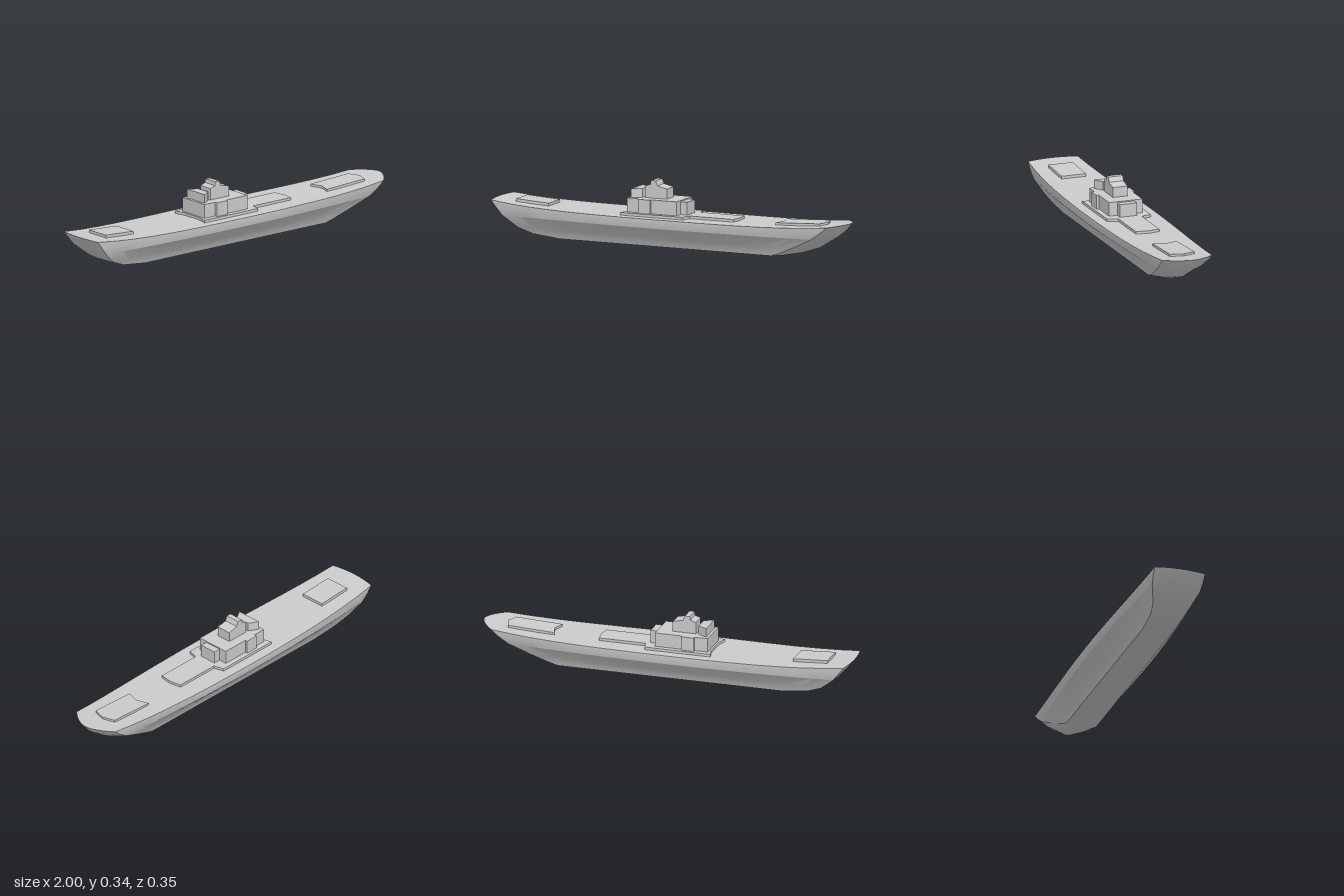
import * as THREE from 'three';
import { toCreasedNormals } from 'three/addons/utils/BufferGeometryUtils.js';

const grey = new THREE.MeshStandardMaterial({ color: 0xcccccc });
const deckY = (x) => 0.16 + 0.03 * x ** 4; // sheer line

// Waterlines from keel to deck: height, half width amidships and at the ends,
// stern corner, stern centre, bow crease and bow tip
const levels = [
  { y: 0.003, mid: 0.08, end: 0.08, sc: -0.62, st: -0.63, bc: 0.58, bt: 0.65 },
  { y: 0.02, mid: 0.088, end: 0.086, sc: -0.77, st: -0.78, bc: 0.63, bt: 0.73 },
  { y: 0.05, mid: 0.103, end: 0.1, sc: -0.85, st: -0.86, bc: 0.7, bt: 0.82 },
  { y: 0.112, mid: 0.168, end: 0.13, sc: -0.925, st: -0.935, bc: 0.83, bt: 0.92 },
  { y: 0.15, mid: 0.177, end: 0.136, sc: -0.955, st: -0.97, bc: 0.885, bt: 0.97 },
  { y: null, mid: 0.176, end: 0.137, sc: -0.985, st: -1, bc: 0.92, bt: 1 },
];

// Half outline of one waterline, from stern centre round to bow tip
function halfOutline({ y, mid, end, sc, st, bc, bt }) {
  const pts = [];
  const add = (x, z) => pts.push(new THREE.Vector3(x, y ?? deckY(x), z));
  for (let i = 0; i < 4; i++) add(st + (sc - st) * (i / 4) ** 2, end * i / 4);
  for (let i = 0; i <= 16; i++) {
    const t = i / 16;
    add(sc + (bc - sc) * t, end + (mid - end) * (1 - (2 * t - 1) ** 2));
  }
  for (let i = 5; i >= 0; i--) add(bc + (bt - bc) * (1 - (i / 6) ** 1.7), end * i / 6);
  return pts;
}

function hullGeometry() {
  const rows = levels.map(halfOutline);
  const pos = [];
  const flip = (p) => new THREE.Vector3(p.x, p.y, -p.z);
  const tri = (a, b, c) => pos.push(...a, ...b, ...c);
  const quad = (a, b, c, d) => { tri(a, b, c); tri(a, c, d); };
  const last = rows.length - 1;
  for (let i = 0; i < rows[0].length - 1; i++) {
    // shell plating, both sides
    for (let j = 0; j < last; j++) {
      const [a, b, c, d] = [rows[j][i], rows[j][i + 1], rows[j + 1][i + 1], rows[j + 1][i]];
      quad(a, b, c, d);
      quad(...[d, c, b, a].map(flip));
    }
    // deck and flat bottom
    const [p, q] = [rows[last][i], rows[last][i + 1]];
    quad(p, q, flip(q), flip(p));
    const [r, s] = [rows[0][i], rows[0][i + 1]];
    quad(flip(r), flip(s), s, r);
  }
  const g = new THREE.BufferGeometry();
  g.setAttribute('position', new THREE.Float32BufferAttribute(pos, 3));
  return toCreasedNormals(g, 0.35);
}

// Block from half a plan outline [x, z], mirrored across the centreline
function planBlock(half, y0, y1, followDeck = false) {
  const back = half.filter((p) => p[1] > 0).reverse().map(([x, z]) => [x, -z]);
  const shape = new THREE.Shape([...half, ...back].map(([x, z]) => new THREE.Vector2(x, z)));
  const g = new THREE.ExtrudeGeometry(shape, { depth: y1 - y0, bevelEnabled: false });
  g.rotateX(-Math.PI / 2).translate(0, y0, 0);
  if (followDeck) {
    const p = g.attributes.position;
    for (let i = 0; i < p.count; i++) p.setY(i, p.getY(i) + deckY(p.getX(i)));
    g.computeVertexNormals();
  }
  return g;
}

export function createModel() {
  const ship = new THREE.Group();
  ship.name = 'ship';
  const add = (name, geometry) => {
    const m = new THREE.Mesh(geometry, grey);
    m.name = name;
    ship.add(m);
  };

  add('hull', hullGeometry());

  // Low raised plates on the deck
  add('midshipPlate', planBlock([[-0.245, 0], [-0.245, 0.06], [-0.26, 0.12], [0.095, 0.12],
    [0.11, 0.065], [0.36, 0.065], [0.37, 0]], 0.15, 0.174));
  add('sternHatch', planBlock([[-0.875, 0], [-0.875, 0.067], [-0.69, 0.067], [-0.69, 0]], -0.01, 0.015, true));
  add('bowHatch', planBlock([[0.62, 0], [0.6, 0.067], [0.85, 0.067], [0.872, 0]], -0.01, 0.012, true));

  // Deckhouse with side bays and a lower front cabin
  add('deckhouse', planBlock([[-0.235, 0], [-0.235, 0.09], [-0.165, 0.09], [-0.165, 0.105],
    [-0.095, 0.105], [-0.095, 0.092], [0.05, 0.092], [0.05, 0]], 0.17, 0.247));
  add('frontCabin', planBlock([[0.04, 0], [0.04, 0.047], [0.088, 0.047], [0.088, 0]], 0.17, 0.241));

  // Wedge-shaped funnel, wide at the back
  add('funnel', planBlock([[-0.22, 0], [-0.22, 0.07], [-0.17, 0.04], [-0.17, 0]], 0.24, 0.293));

  // Bridge tower with a stepped roof, drawn in side profile
  const profile = [[-0.155, 0.24], [-0.03, 0.24], [-0.03, 0.3], [-0.085, 0.313], [-0.095, 0.338],
    [-0.122, 0.338], [-0.125, 0.318], [-0.155, 0.308]];
  const tower = new THREE.ExtrudeGeometry(
    new THREE.Shape(profile.map(([x, y]) => new THREE.Vector2(x, y))), { depth: 0.08, bevelEnabled: false });
  add('bridgeTower', tower.translate(0, 0, -0.04));

  return ship;
}
